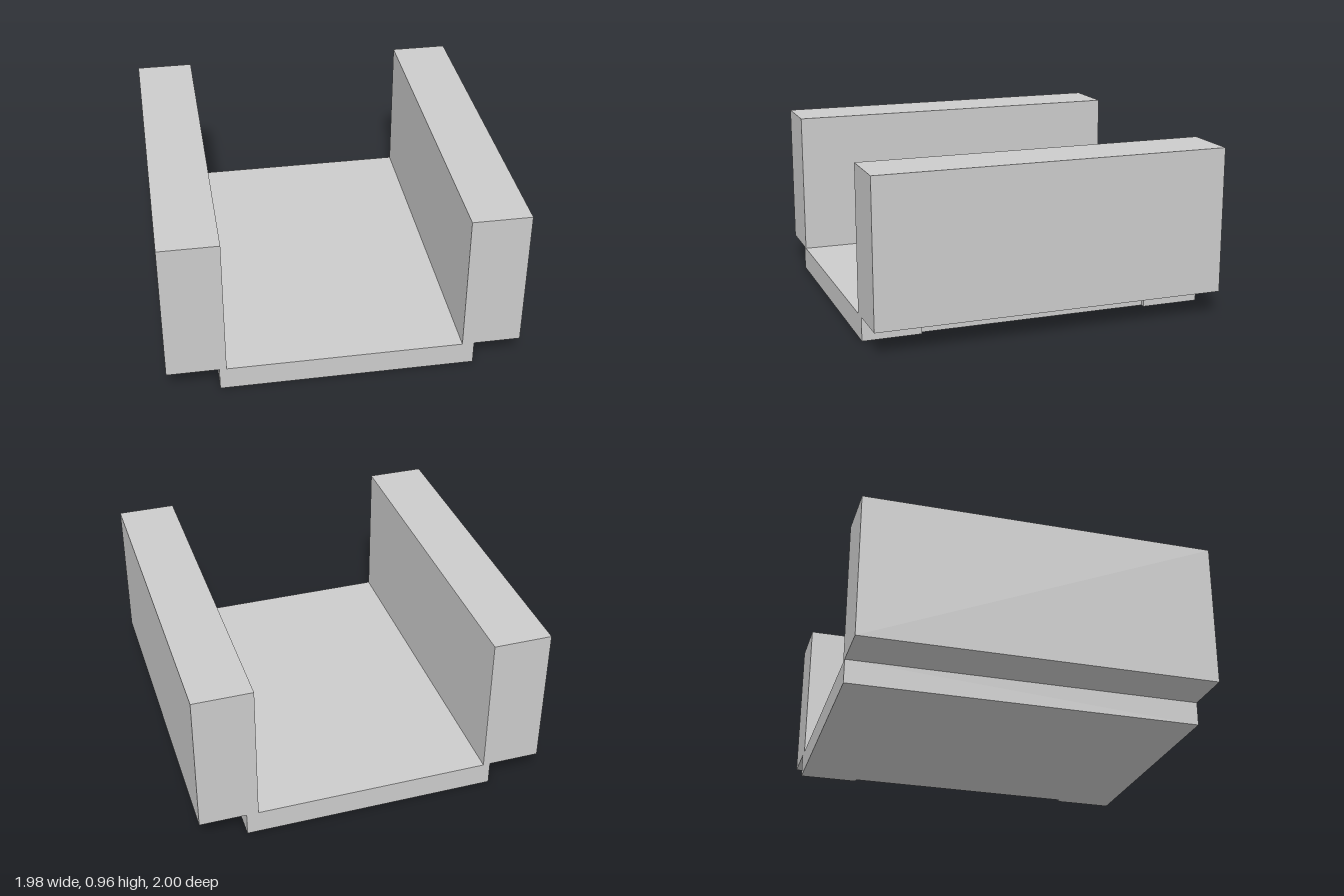
import * as THREE from 'three';

export function createModel() {
  const group = new THREE.Group();
  const material = new THREE.MeshStandardMaterial({ color: 0xcccccc, flatShading: true });
  const add = (name, geometry) => {
    const mesh = new THREE.Mesh(geometry, material);
    mesh.name = name;
    group.add(mesh);
    return mesh;
  };

  const baseHeight = 0.135, top = 0.96, inner = 0.66, outer = 0.99;

  // Base plate: plan outline with a long shallow recess in its left edge
  const plan = new THREE.Shape([
    [-0.7, -1], [0.727, -1], [0.727, -0.665], [0.7, -0.665],
    [0.7, 0.665], [0.727, 0.665], [0.727, 1], [-0.7, 1],
  ].map(([x, z]) => new THREE.Vector2(x, z)));
  const plate = new THREE.ExtrudeGeometry(plan, { depth: baseHeight, bevelEnabled: false });
  plate.rotateX(-Math.PI / 2);
  add('basePlate', plate);

  // Side walls, overhanging the plate
  for (const side of [-1, 1]) {
    const wall = add(side > 0 ? 'leftWall' : 'rightWall',
      new THREE.BoxGeometry(outer - inner, top - baseHeight, 2));
    wall.position.set(side * (inner + outer) / 2, (top + baseHeight) / 2, 0);
  }

  return group;
}
